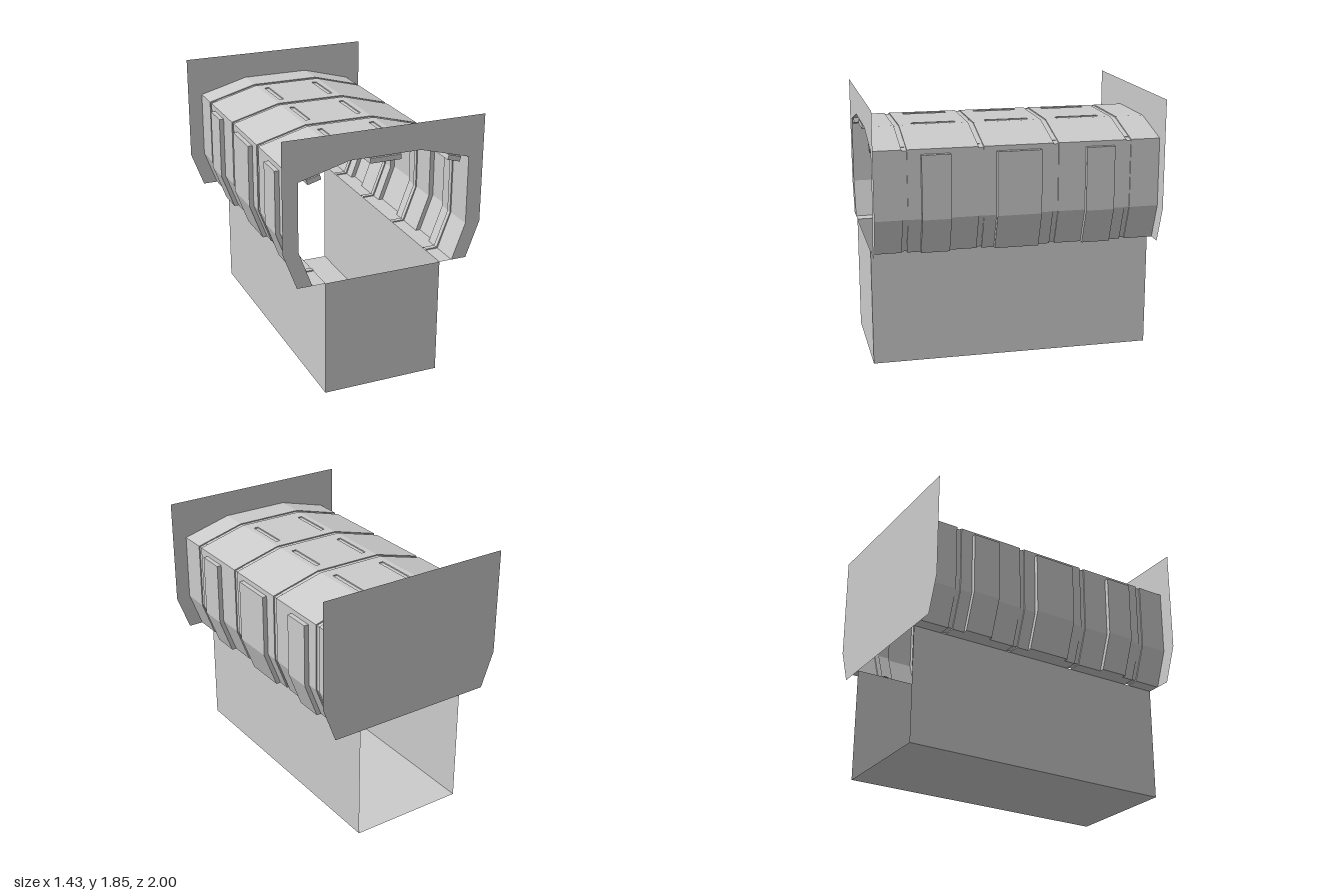
import * as THREE from 'three';

const material = new THREE.MeshStandardMaterial({
  color: 0xcccccc, flatShading: true, side: THREE.DoubleSide,
});

function addMesh(group, name, geometry, x = 0, y = 0, z = 0) {
  const mesh = new THREE.Mesh(geometry, material);
  mesh.name = name;
  mesh.position.set(x, y, z);
  group.add(mesh);
  return mesh;
}

// Features along the length: [start, end]
const sidePanels = [[-0.67, -0.47], [-0.155, 0.155], [0.47, 0.67]];
const roofSlots = [[-0.675, -0.365], [-0.16, 0.15], [0.36, 0.67]];
const grooves = [-0.775, -0.26, 0.26, 0.78].map((z) => [z - 0.018, z + 0.018]);
const inside = (ranges, z) => ranges.some(([a, b]) => z > a && z < b);

// Shell cross-section at z: from the right ledge over the roof to the left ledge
function section(z) {
  const d = inside(sidePanels, z) ? 0.033 : 0;
  const g = inside(grooves, z) ? 0.008 : 0;
  const s = inside(roofSlots, z) ? 0.008 : 0;
  const top = 1.662 - g;
  const half = [
    [0.42, 0.83 + g], [0.512 + d - g, 0.83 + g], [0.607 + d - g, 1.085],
    [0.607 + d - g, 1.53], [0.607 - g, 1.53], [0.607 - g, 1.565 - g],
    [0.25, top], [0.21, top], [0.21, top - s], [0.175, top - s], [0.175, top],
  ];
  return [...half, ...half.map(([x, y]) => [-x, y]).reverse()];
}

// Loft between sections, with a sharp step wherever a feature starts or ends
function shellGeometry() {
  const cuts = [-1, 1, ...[...sidePanels, ...roofSlots, ...grooves].flat()];
  const zs = [...new Set(cuts)].sort((a, b) => a - b);
  const rings = [];
  for (let k = 0; k < zs.length - 1; k++) {
    const profile = section((zs[k] + zs[k + 1]) / 2);
    for (const z of [zs[k], zs[k + 1]]) {
      rings.push(profile.map(([x, y]) => new THREE.Vector3(x, y, z)));
    }
  }
  const positions = [];
  const addTriangle = (a, b, c) => {
    if (new THREE.Triangle(a, b, c).getArea() < 1e-8) return;
    for (const p of [a, b, c]) positions.push(p.x, p.y, p.z);
  };
  for (let k = 0; k < rings.length - 1; k++) {
    for (let i = 0; i < rings[k].length - 1; i++) {
      const a = rings[k][i], b = rings[k][i + 1];
      const c = rings[k + 1][i + 1], d = rings[k + 1][i];
      addTriangle(a, b, c);
      addTriangle(a, c, d);
    }
  }
  const geometry = new THREE.BufferGeometry();
  geometry.setAttribute('position', new THREE.Float32BufferAttribute(positions, 3));
  geometry.computeVertexNormals();
  return geometry;
}

function plateGeometry(points) {
  return new THREE.ShapeGeometry(new THREE.Shape(points.map(([x, y]) => new THREE.Vector2(x, y))));
}

export function createModel() {
  const model = new THREE.Group();
  model.name = 'tunnelSection';

  addMesh(model, 'tunnelShell', shellGeometry());

  // End plates: solid at the back, with the tunnel opening cut out at the front
  const outline = [[0.62, 0.83], [0.715, 1.085], [0.715, 1.85],
    [-0.715, 1.85], [-0.715, 1.085], [-0.62, 0.83]];
  const opening = [[-0.512, 0.83], [-0.607, 1.085], [-0.607, 1.565], [-0.25, 1.662],
    [0.25, 1.662], [0.607, 1.565], [0.607, 1.085], [0.512, 0.83]];
  addMesh(model, 'backPlate', plateGeometry(outline), 0, 0, -1).rotation.set(0, 0, 0);
  addMesh(model, 'frontPlate', plateGeometry([...outline, ...opening]), 0, 0, 1);

  // Ceiling beams running the whole length
  addMesh(model, 'centreBeam', new THREE.BoxGeometry(0.22, 0.035, 2), 0, 1.637, 0);
  for (const side of [-1, 1]) {
    const beam = addMesh(model, side > 0 ? 'leftBeam' : 'rightBeam',
      new THREE.BoxGeometry(0.095, 0.035, 2), side * 0.499, 1.569, 0);
    beam.rotation.z = -side * Math.atan2(0.097, 0.357);
  }

  // Trough below the shell, open at the top and back
  for (const side of [-1, 1]) {
    const wall = addMesh(model, side > 0 ? 'leftTroughWall' : 'rightTroughWall',
      new THREE.PlaneGeometry(2, 0.83), side * 0.42, 0.415, 0);
    wall.rotation.y = side * Math.PI / 2;
  }
  addMesh(model, 'troughFloor', new THREE.PlaneGeometry(0.84, 2)).rotation.x = Math.PI / 2;
  addMesh(model, 'troughFront', new THREE.PlaneGeometry(0.84, 0.83), 0, 0.415, 1);

  return model;
}
